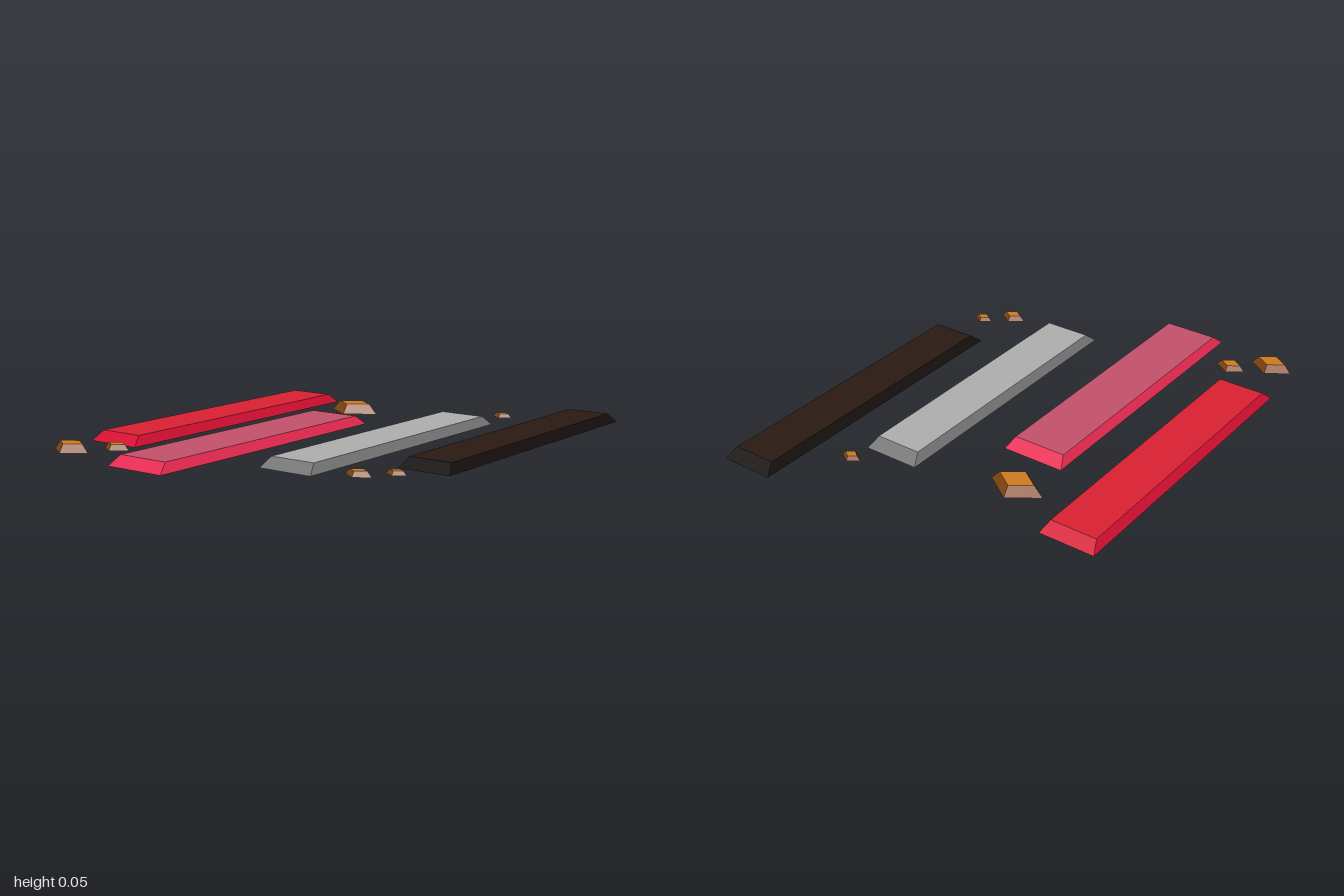
import * as THREE from 'three';

const material = (color) => new THREE.MeshStandardMaterial({ color, flatShading: true, side: THREE.DoubleSide });

// Surface made of flat quads, each listed counter-clockwise from outside
function quadMesh(name, quads, mat) {
  const points = quads.flatMap(([a, b, c, d]) => [a, b, c, a, c, d]);
  const geometry = new THREE.BufferGeometry().setFromPoints(points);
  geometry.computeVertexNormals();
  const mesh = new THREE.Mesh(geometry, mat);
  mesh.name = name;
  return mesh;
}

// Bevelled tile with an open underside: sloping rim plus a flat top panel
function bevelledTile(name, lower, upper, y0, y1, rimMat, topMat) {
  const low = lower.map(([x, z]) => new THREE.Vector3(x, y0, z));
  const high = upper.map(([x, z]) => new THREE.Vector3(x, y1, z));
  const rim = low.map((p, i) => {
    const j = (i + 1) % low.length;
    return [p, low[j], high[j], high[i]];
  });
  const group = new THREE.Group();
  group.name = name;
  group.add(quadMesh(name + 'Rim', rim, rimMat), quadMesh(name + 'Top', [high], topMat));
  return group;
}

const rectangle = (hx, hz) => [[-hx, hz], [hx, hz], [hx, -hz], [-hx, -hz]];
const diamond = (hx, hz) => [[0, hz], [hx, 0], [0, -hz], [-hx, 0]];

export function createModel() {
  const model = new THREE.Group();
  model.name = 'barsAndDiamonds';

  // Long bars: name, x range, z range, rim colour, top colour
  const bars = [
    ['redBar', -0.69, 0.675, -0.772, -0.527, 0xd50f32, 0xdc2233],
    ['pinkBar', -1, 0.29, -0.36, -0.085, 0xe82a52, 0xc4526c],
    ['greyBar', -0.68, 0.61, 0.12, 0.365, 0x777777, 0xb0b0b0],
    ['blackBar', -0.37, 1, 0.54, 0.772, 0x15100e, 0x2a1a12],
  ];
  for (const [name, x0, x1, z0, z1, rim, top] of bars) {
    const hx = (x1 - x0) / 2, hz = (z1 - z0) / 2;
    const bar = bevelledTile(name, rectangle(hx, hz), rectangle(hx - 0.048, hz - 0.021),
      0, 0.04, material(rim), material(top));
    bar.position.set((x0 + x1) / 2, 0, (z0 + z1) / 2);
    model.add(bar);
  }

  // Amber diamonds: centre x, centre z, half width, half depth, bottom, top
  const amberRim = material(0x8a4a14), amberTop = material(0xcf7d22);
  const diamonds = [
    [0.49, -0.293, 0.086, 0.123, 0.004, 0.047],
    [-0.91, -0.656, 0.065, 0.094, 0.008, 0.043],
    [-0.798, -0.515, 0.047, 0.067, 0.013, 0.037],
    [0.717, 0.354, 0.033, 0.047, 0.016, 0.033],
    [-0.613, 0.535, 0.042, 0.06, 0.014, 0.036],
    [-0.522, 0.64, 0.032, 0.046, 0.016, 0.033],
  ];
  diamonds.forEach(([x, z, hx, hz, y0, y1], i) => {
    const gem = bevelledTile('diamond' + (i + 1), diamond(hx, hz), diamond(hx * 0.67, hz * 0.67),
      y0, y1, amberRim, amberTop);
    gem.position.set(x, 0, z);
    model.add(gem);
  });

  return model;
}
